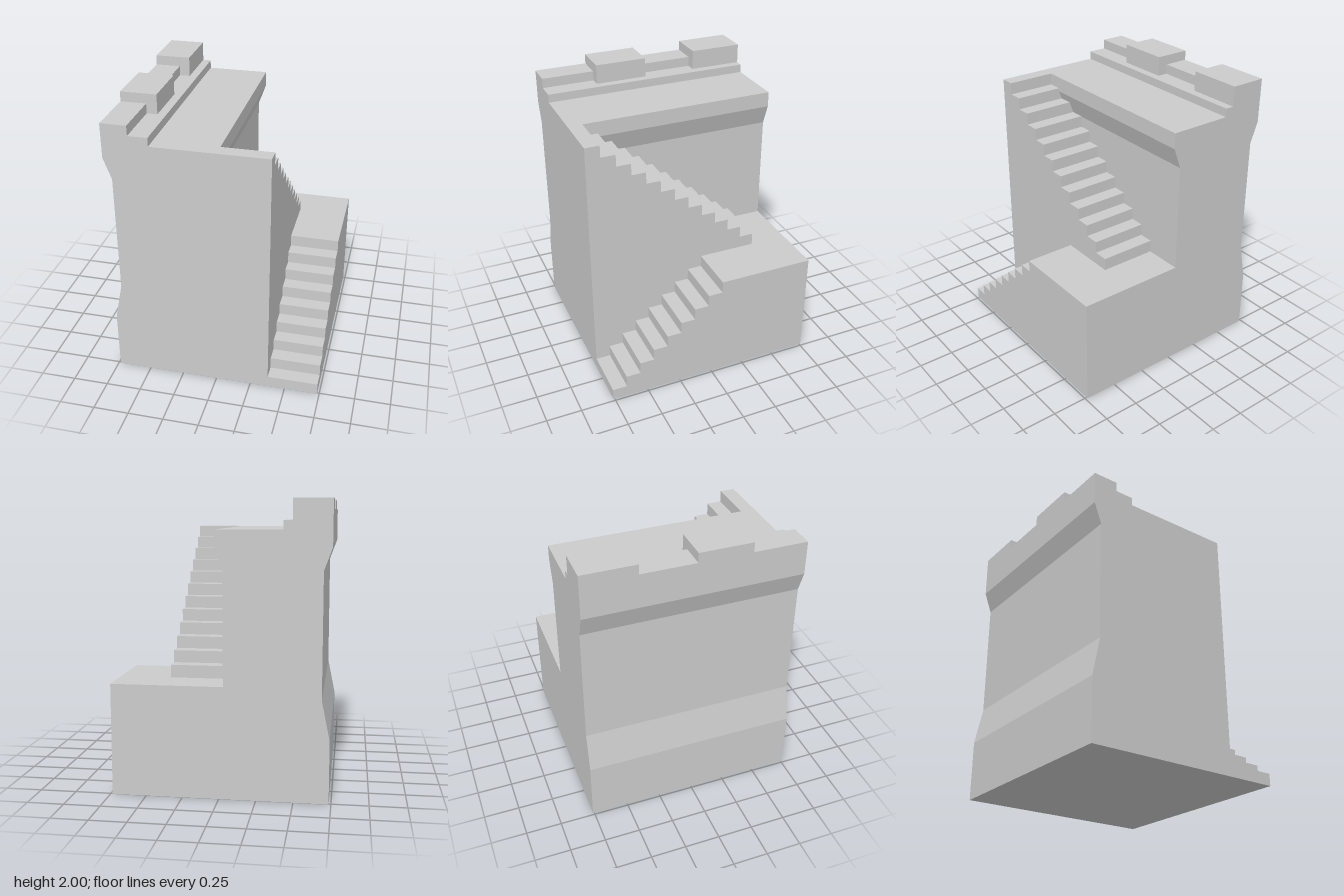
import * as THREE from 'three';

const material = new THREE.MeshStandardMaterial({ color: 0xcccccc, flatShading: true });
const DEPTH = 0.76;      // half length of the wall along z
const PLATFORM = 0.77;   // height of the landing between the flights
const WALK = 1.8;        // height of the wall walk
const TREAD = 0.104;
const RISE = PLATFORM / 9;

function extrude(points, depth) {
  const shape = new THREE.Shape(points.map(([x, y]) => new THREE.Vector2(x, y)));
  return new THREE.ExtrudeGeometry(shape, { depth, bevelEnabled: false });
}

function addMesh(group, name, geometry) {
  const mesh = new THREE.Mesh(geometry, material);
  mesh.name = name;
  group.add(mesh);
}

// Extrudes a [z, y] side profile between two x positions
function sideBlock(points, x0, x1) {
  return extrude(points, x1 - x0).rotateY(-Math.PI / 2).translate(x1, 0, 0);
}

export function createModel() {
  const model = new THREE.Group();
  model.name = 'castleWallWithStairs';

  // Wall with recessed outer face, overhanging walk and stepped parapet
  const wall = extrude([
    [-0.735, 0], [-0.03, 0], [-0.03, 1.54], [0.025, 1.69], [0.025, WALK],
    [-0.42, WALK], [-0.42, 1.86], [-0.555, 1.86], [-0.555, 1.93], [-0.735, 1.93],
    [-0.735, 1.69], [-0.68, 1.54], [-0.68, 0.7], [-0.735, 0.43],
  ], DEPTH * 2).translate(0, 0, -DEPTH);
  addMesh(model, 'wall', wall);

  // Merlons on the parapet
  for (const z of [0.19, -0.572]) {
    const merlon = new THREE.BoxGeometry(0.255, 0.14, 0.378);
    addMesh(model, 'merlon', merlon.translate(-0.6075, 1.93, z));
  }

  // Upper flight: descends from the wall walk at the front to the landing
  const upper = [[-DEPTH, 0], [DEPTH, 0]];
  for (let i = 0; i < 12; i++) {
    const y = WALK - i * RISE;
    upper.push([DEPTH - i * TREAD, y], [DEPTH - (i + 1) * TREAD, y]);
  }
  upper.push([DEPTH - 12 * TREAD, PLATFORM], [-DEPTH, PLATFORM]);
  addMesh(model, 'upperStairs', sideBlock(upper, -0.03, 0.377));

  // Lower flight: climbs from the ground at the front to the landing
  const lower = [[-DEPTH, 0], [DEPTH, 0]];
  for (let i = 0; i < 8; i++) {
    const y = (i + 1) * RISE;
    lower.push([DEPTH - i * TREAD, y], [DEPTH - (i + 1) * TREAD, y]);
  }
  lower.push([DEPTH - 8 * TREAD, PLATFORM], [-DEPTH, PLATFORM]);
  addMesh(model, 'lowerStairs', sideBlock(lower, 0.377, 0.735));

  return model;
}
